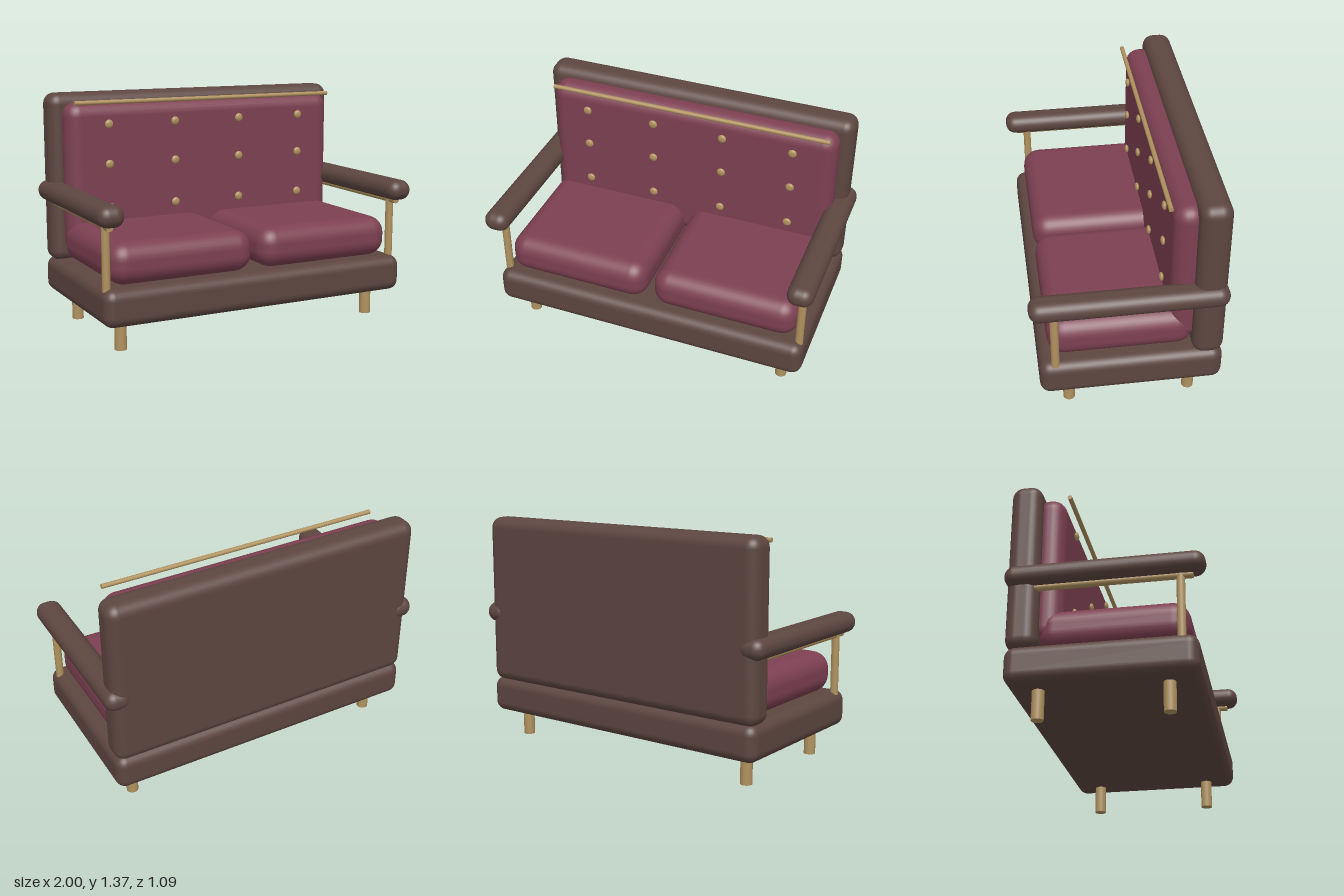
import * as THREE from 'three';
import { RoundedBoxGeometry } from 'three/addons/geometries/RoundedBoxGeometry.js';

const frameMat = new THREE.MeshStandardMaterial({ color: 0x5d4640 });
const fabricMat = new THREE.MeshStandardMaterial({ color: 0x7d4052 });
const woodMat = new THREE.MeshStandardMaterial({ color: 0xb0925f });

export function createModel() {
  const sofa = new THREE.Group();
  sofa.name = 'sofa';

  const add = (name, geometry, material, x, y, z) => {
    const mesh = new THREE.Mesh(geometry, material);
    mesh.name = name;
    mesh.position.set(x, y, z);
    sofa.add(mesh);
    return mesh;
  };

  // Rounded block given by its extents on each axis
  const block = (name, material, [x0, x1], [y0, y1], [z0, z1], radius) =>
    add(name, new RoundedBoxGeometry(x1 - x0, y1 - y0, z1 - z0, 4, radius), material,
      (x0 + x1) / 2, (y0 + y1) / 2, (z0 + z1) / 2);

  // Round bar along y, turned to another axis by the caller
  const bar = (name, radius, length, x, y, z) =>
    add(name, new THREE.CylinderGeometry(radius, radius, length, 20), woodMat, x, y, z);

  // Frame and back cushion
  block('base', frameMat, [-0.96, 0.96], [0.165, 0.378], [-0.533, 0.497], 0.06);
  block('backrest', frameMat, [-0.96, 0.96], [0.362, 1.37], [-0.533, -0.357], 0.065);
  block('backCushion', fabricMat, [-0.893, 0.893], [0.43, 1.32], [-0.41, -0.238], 0.082);

  for (const [side, s] of [['left', 1], ['right', -1]]) {
    // Seat cushion
    const xs = [s * 0.022, s * 0.9].sort((a, b) => a - b);
    block(side + 'SeatCushion', fabricMat, xs, [0.375, 0.615], [-0.38, 0.445], 0.1);

    // Armrest with its wooden rail and front post
    const arm = s * 0.924;
    block(side + 'Armrest', frameMat, [arm - 0.076, arm + 0.076], [0.725, 0.845], [-0.543, 0.543], 0.059);
    bar(side + 'ArmRail', 0.02, 0.86, arm, 0.721, 0.046).rotation.x = Math.PI / 2;
    bar(side + 'ArmPost', 0.023, 0.38, arm, 0.55, 0.408);

    // Legs
    bar(side + 'FrontLeg', 0.034, 0.2, s * 0.815, 0.1, 0.328);
    bar(side + 'BackLeg', 0.034, 0.2, s * 0.815, 0.1, -0.366);
  }

  // Rod along the top of the back cushion
  bar('topRod', 0.013, 1.715, 0, 1.322, -0.217).rotation.z = Math.PI / 2;

  // Flattened tufting buttons
  const buttonGeometry = new THREE.SphereGeometry(0.026, 16, 12);
  for (const y of [0.697, 0.955, 1.193]) {
    for (const x of [-0.645, -0.218, 0.218, 0.645]) {
      add('button', buttonGeometry, woodMat, x, y, -0.222).scale.z = 0.5;
    }
  }

  return sofa;
}
